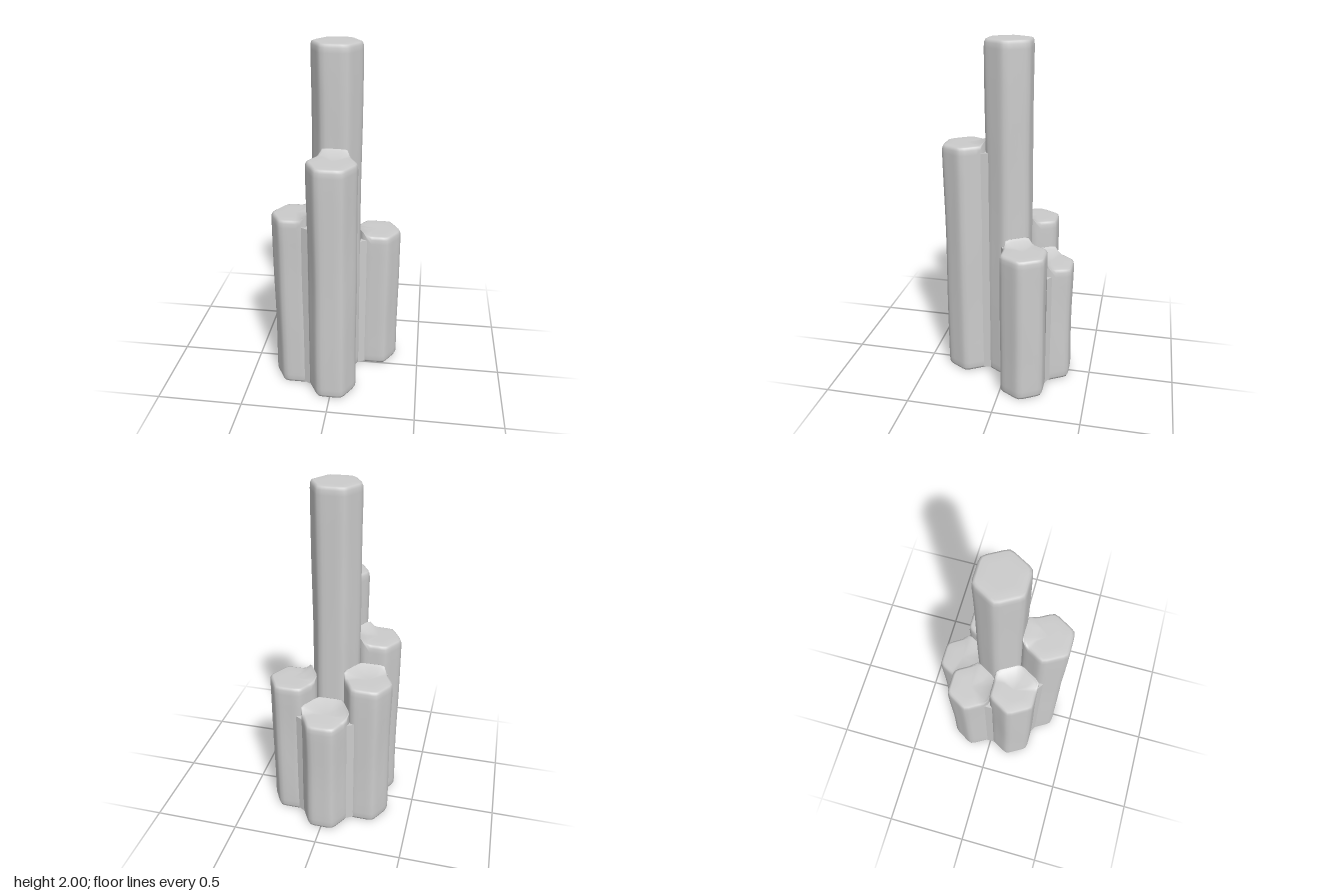
import * as THREE from 'three';
import { mergeVertices } from 'three/addons/utils/BufferGeometryUtils.js';

const APOTHEM = 0.127;
const DX = 0.22, DZ = 0.25;

// Hexagonal columns: centre, height, slope of the top in x and z, phase of the worn sides
const COLUMNS = [
  { name: 'centreColumn', x: -0.004, z: 0.003, h: 2.0, tx: 0, tz: 0, phase: 0.4 },
  { name: 'frontColumn', x: 0, z: DZ, h: 1.425, tx: 0, tz: -0.03, phase: 2.1 },
  { name: 'leftBackColumn', x: DX, z: -DZ / 2, h: 0.88, tx: 0, tz: 0, phase: 3.6 },
  { name: 'rightFrontColumn', x: -DX, z: 0.13, h: 1.075, tx: 0.03, tz: 0, phase: 1.2 },
  { name: 'rightBackColumn', x: -DX, z: -DZ / 2, h: 0.93, tx: 0.03, tz: 0.03, phase: 5.0 },
  { name: 'backColumn', x: 0, z: -DZ, h: 0.74, tx: 0, tz: 0.1, phase: 4.3 },
];

// Outer seams between neighbours: position, direction facing out, height
const SEAMS = [
  [0.145, 0, 0.5, 0.866, 0.86], [0.073, 0.126, 1, 0, 1.39],
  [-0.145, 0.253, -0.5, 0.866, 1.04], [-0.293, 0.002, -1, 0, 0.89],
  [-0.145, -0.25, -0.5, -0.866, 0.7], [0.145, -0.25, 0.5, -0.866, 0.7],
];

function columnGeometry(c) {
  // Profile: bevelled foot, long side, rounded top
  const profile = [[0, 0], [0.94, 0], [0.985, 0.015], [1, 0.05]];
  for (let i = 1; i < 10; i++) profile.push([1, 0.05 + (c.h - 0.1) * i / 10]);
  profile.push([1, c.h - 0.045], [0.985, c.h - 0.018], [0.94, c.h - 0.004], [0.86, c.h], [0.5, c.h], [0, c.h]);
  let geo = new THREE.LatheGeometry(profile.map(([r, y]) => new THREE.Vector2(r, y)), 36);
  const taller = COLUMNS.filter(o => o.h > c.h && Math.hypot(o.x - c.x, o.z - c.z) < 0.3);
  const pos = geo.attributes.position;
  for (let i = 0; i < pos.count; i++) {
    let x = pos.getX(i), y = pos.getY(i), z = pos.getZ(i);
    // Turn the circle into a hexagon with softened corners
    const a = Math.atan2(x, z), sector = Math.PI / 3;
    const local = a - Math.round(a / sector) * sector;
    let r = Math.min(APOTHEM / Math.cos(local), 0.141);
    // Gentle wear along the sides
    r *= 1 - 0.022 * (1 + Math.sin(y * 5 + c.phase + 2 * Math.sin(a + c.phase))) * Math.sin(Math.PI * y / c.h);
    x *= r;
    z *= r;
    if (y > c.h - 0.05) {
      y += c.tx * x + c.tz * z;
      // The top climbs a little where it meets a taller neighbour
      for (const o of taller) {
        const dx = o.x - c.x, dz = o.z - c.z;
        const near = (x * dx + z * dz) / Math.hypot(dx, dz);
        const k = THREE.MathUtils.smoothstep(near, 0.085, 0.127);
        y = THREE.MathUtils.lerp(y, c.h + 0.03, k);
      }
    }
    pos.setXYZ(i, x, y, z);
  }
  geo.deleteAttribute('uv');
  geo.deleteAttribute('normal');
  geo = mergeVertices(geo, 1e-5);
  geo.computeVertexNormals();
  return geo;
}

// Slim three-sided fillet that fills the groove between two columns
function seamGeometry(dx, dz, h) {
  const a = Math.atan2(dz, dx), leg = 0.026;
  const shape = new THREE.Shape([
    new THREE.Vector2(-0.02 * dx, 0.02 * dz),
    new THREE.Vector2(leg * Math.cos(a - 1.05), -leg * Math.sin(a - 1.05)),
    new THREE.Vector2(leg * Math.cos(a + 1.05), -leg * Math.sin(a + 1.05)),
  ]);
  const geo = new THREE.ExtrudeGeometry(shape, { depth: h, bevelEnabled: false });
  return geo.rotateX(-Math.PI / 2);
}

export function createModel() {
  const model = new THREE.Group();
  model.name = 'basaltColumns';
  const stone = new THREE.MeshStandardMaterial({ color: 0xcccccc });

  for (const c of COLUMNS) {
    const mesh = new THREE.Mesh(columnGeometry(c), stone);
    mesh.name = c.name;
    mesh.position.set(c.x, 0, c.z);
    model.add(mesh);
  }

  SEAMS.forEach(([x, z, dx, dz, h], i) => {
    const mesh = new THREE.Mesh(seamGeometry(dx, dz, h - 0.01), stone);
    mesh.name = `seamFillet${i + 1}`;
    mesh.position.set(x, 0.01, z);
    model.add(mesh);
  });
  return model;
}
